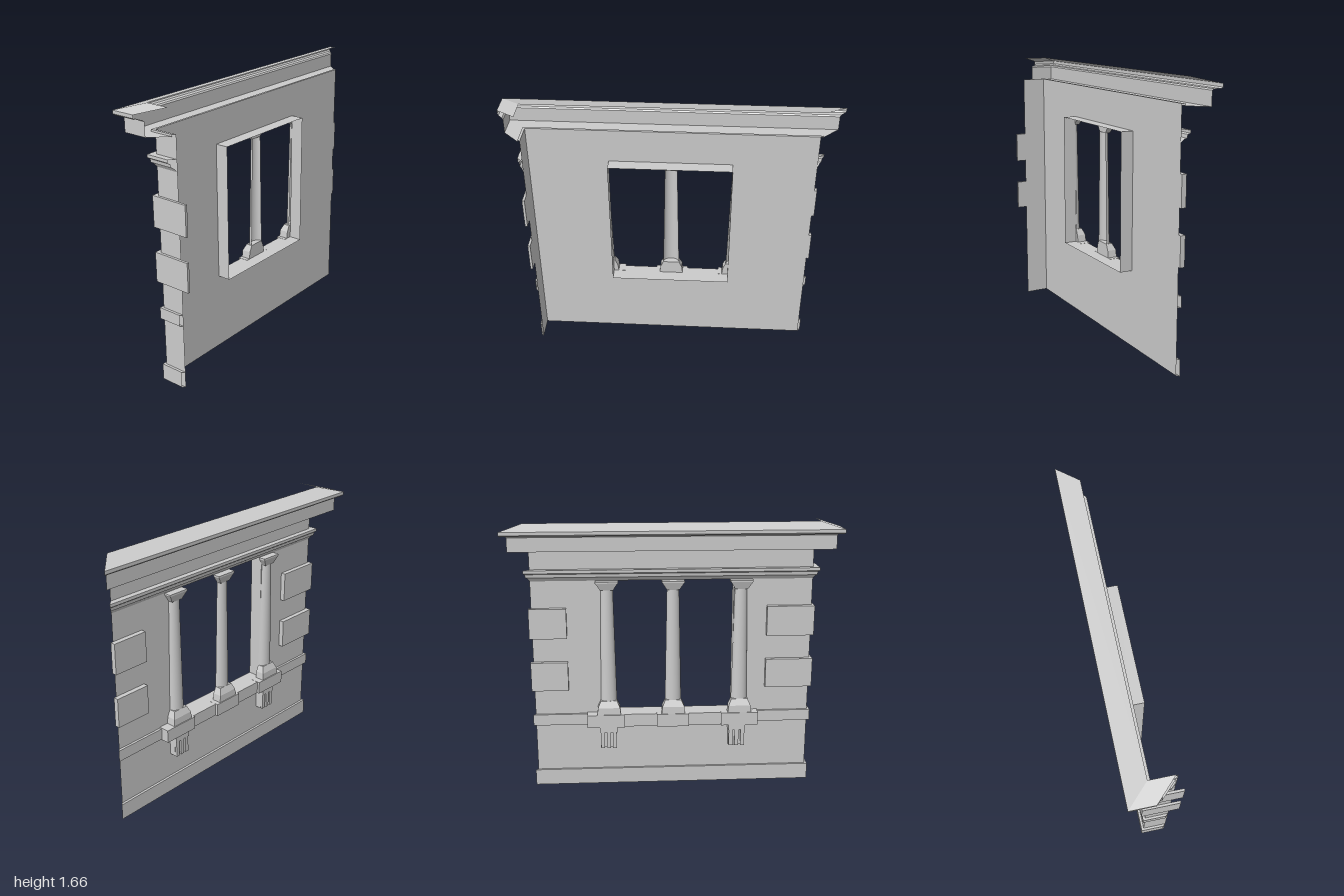
import * as THREE from 'three';

const WALL_X = -0.03, HALF = 0.85, END_X = 0.117, TOP = 1.515;
const mat = new THREE.MeshStandardMaterial({ color: 0xcccccc, side: THREE.DoubleSide });
const flat = new THREE.MeshStandardMaterial({ color: 0xcccccc, side: THREE.DoubleSide, flatShading: true });

function add(parent, name, geometry, material = mat) {
  const mesh = new THREE.Mesh(geometry, material);
  mesh.name = name;
  parent.add(mesh);
  return mesh;
}

// box given by its limits on each axis
function block(parent, name, x0, x1, y0, y1, z0, z1) {
  const g = new THREE.BoxGeometry(x1 - x0, y1 - y0, z1 - z0);
  g.translate((x0 + x1) / 2, (y0 + y1) / 2, (z0 + z1) / 2);
  return add(parent, name, g);
}

// sweeps a profile of [offset from wall, height] along the face and round the corner, with mitred ends
function moulding(parent, name, profile) {
  const path = (d) => [
    [WALL_X - d, -HALF - d],
    [WALL_X - d, HALF + d],
    [END_X - d, HALF + d],
  ];
  const pos = [];
  for (let i = 0; i < profile.length - 1; i++) {
    const [d0, y0] = profile[i], [d1, y1] = profile[i + 1];
    const low = path(d0), high = path(d1);
    for (let k = 0; k < 2; k++) {
      const a = [low[k][0], y0, low[k][1]], b = [low[k + 1][0], y0, low[k + 1][1]];
      const c = [high[k + 1][0], y1, high[k + 1][1]], d = [high[k][0], y1, high[k][1]];
      pos.push(...a, ...b, ...c, ...a, ...c, ...d);
    }
  }
  const g = new THREE.BufferGeometry();
  g.setAttribute('position', new THREE.Float32BufferAttribute(pos, 3));
  g.computeVertexNormals();
  return add(parent, name, g);
}

// block against the wall whose depth and width change from bottom to top
function flare(parent, name, y0, y1, depth0, half0, depth1, half1) {
  const g = new THREE.BoxGeometry(1, 1, 1);
  const p = g.attributes.position;
  for (let i = 0; i < p.count; i++) {
    const top = p.getY(i) > 0;
    const depth = top ? depth1 : depth0, half = top ? half1 : half0;
    p.setXYZ(i, p.getX(i) < 0 ? WALL_X - depth : WALL_X, top ? y1 : y0, Math.sign(p.getZ(i)) * half);
  }
  return add(parent, name, g, flat);
}

function column(z) {
  const group = new THREE.Group();
  group.name = 'halfColumn';
  flare(group, 'columnPlinth', 0.475, 0.52, 0.06, 0.073, 0.058, 0.068);
  flare(group, 'columnBase', 0.52, 0.56, 0.058, 0.068, 0.041, 0.05);
  const shaft = new THREE.CylinderGeometry(0.037, 0.05, 0.7, 12, 1, true, Math.PI, Math.PI);
  shaft.scale(0.82, 1, 1).translate(WALL_X, 0.91, 0);
  add(group, 'columnShaft', shaft);
  flare(group, 'columnCapital', 1.255, 1.3, 0.031, 0.038, 0.046, 0.066);
  flare(group, 'columnAbacus', 1.3, 1.31, 0.046, 0.068, 0.046, 0.068);
  group.position.z = z;
  return group;
}

export function createModel() {
  const model = new THREE.Group();
  model.name = 'windowWall';

  // wall skin with the window opening, and its short return
  const win = { z0: -0.36, z1: 0.372, y0: 0.475, y1: 1.31 };
  const rect = (T, x0, x1, y0, y1) =>
    new T([[x0, y0], [x1, y0], [x1, y1], [x0, y1]].map(([x, y]) => new THREE.Vector2(x, y)));
  const face = rect(THREE.Shape, -HALF, HALF, 0, TOP);
  face.holes.push(rect(THREE.Path, win.z0, win.z1, win.y0, win.y1));
  add(model, 'wallFace', new THREE.ShapeGeometry(face).rotateY(-Math.PI / 2).translate(WALL_X, 0, 0));
  const end = new THREE.ShapeGeometry(rect(THREE.Shape, WALL_X, END_X, 0, TOP));
  add(model, 'wallReturn', end.translate(0, 0, HALF));

  // window reveal projecting inwards
  const reveal = new THREE.Group();
  reveal.name = 'windowReveal';
  model.add(reveal);
  const depth = 0.08, midX = WALL_X + depth / 2;
  const midY = (win.y0 + win.y1) / 2, midZ = (win.z0 + win.z1) / 2;
  for (const z of [win.z0, win.z1]) {
    add(reveal, 'revealSide', new THREE.PlaneGeometry(depth, win.y1 - win.y0).translate(midX, midY, z));
  }
  for (const y of [win.y0, win.y1]) {
    const g = new THREE.PlaneGeometry(depth, win.z1 - win.z0).rotateX(-Math.PI / 2);
    add(reveal, y === win.y0 ? 'revealSill' : 'revealHead', g.translate(midX, y, midZ));
  }

  // horizontal mouldings
  moulding(model, 'baseCourse', [[0, 0], [0.015, 0], [0.015, 0.1], [0, 0.1]]);
  moulding(model, 'stringCourse', [[0, 0.4], [0.015, 0.4], [0.015, 0.47], [0, 0.47]]);
  moulding(model, 'upperMoulding', [
    [0, 1.31], [0.013, 1.33], [0.022, 1.335], [0.025, 1.355], [0.035, 1.362], [0.035, 1.38], [0, 1.38],
  ]);
  moulding(model, 'cornice', [
    [0, 1.515], [0.015, 1.515], [0.015, 1.503], [0.11, 1.503], [0.11, 1.587], [0.117, 1.595],
    [0.142, 1.597], [0.15, 1.605], [0.15, 1.624],
  ]);
  moulding(model, 'corniceRoof', [[0.15, 1.624], [0.025, 1.657]]);

  // corner blocks
  for (const [y0, y1] of [[0.63, 0.81], [0.96, 1.145]]) {
    block(model, 'cornerBlockFar', -0.06, WALL_X, y0, y1, -0.865, -0.64);
    block(model, 'cornerBlockNear', -0.06, WALL_X, y0, y1, 0.575, 0.865);
    block(model, 'cornerBlockReturn', WALL_X, 0.175, y0, y1, HALF, 0.865);
  }

  // sill with projecting pedestals, brackets and half columns
  block(model, 'windowSill', -0.08, WALL_X, 0.395, 0.475, -0.5, 0.5);
  for (const [z0, z1] of [[-0.53, -0.3], [-0.1, 0.1], [0.3, 0.53]]) {
    block(model, 'sillPedestal', -0.096, WALL_X, 0.395, 0.476, z0, z1);
  }
  for (const z of [-0.4, 0.4]) {
    const bracket = new THREE.Group();
    bracket.name = 'sillBracket';
    bracket.position.z = z;
    model.add(bracket);
    block(bracket, 'bracketBack', -0.072, WALL_X, 0.255, 0.395, -0.05, 0.05);
    block(bracket, 'bracketHead', -0.09, WALL_X, 0.36, 0.395, -0.053, 0.053);
    for (const dz of [-0.037, 0, 0.037]) {
      block(bracket, 'bracketRib', -0.085, -0.07, 0.255, 0.36, dz - 0.012, dz + 0.012);
    }
  }
  for (const z of [-0.395, 0.003, 0.415]) model.add(column(z));

  return model;
}
